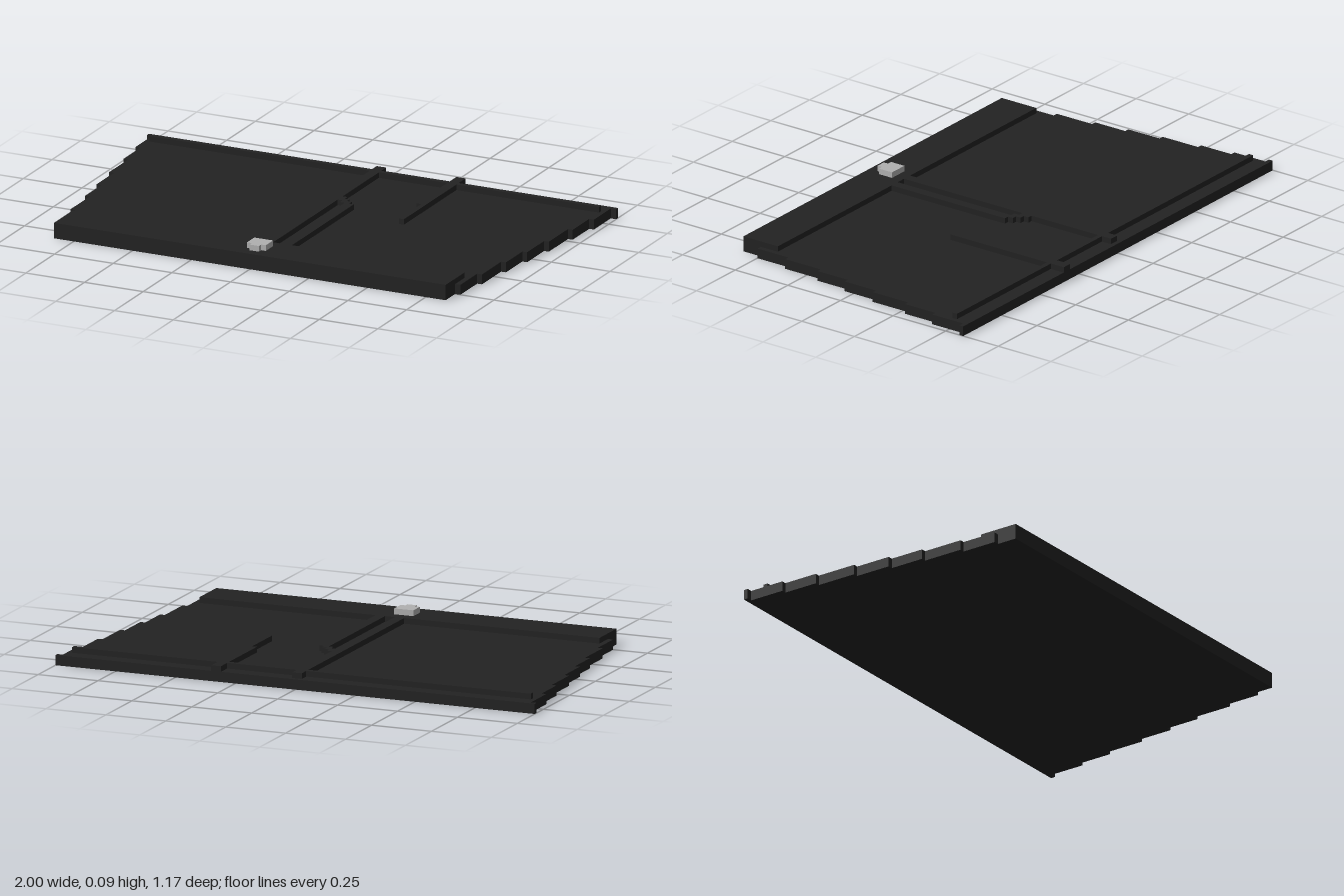
import * as THREE from 'three';

export function createModel() {
  const model = new THREE.Group();
  const charcoal = new THREE.MeshStandardMaterial({ color: 0x222222 });
  charcoal.name = 'charcoal';
  const lightGrey = new THREE.MeshStandardMaterial({ color: 0xb0b0b0 });
  lightGrey.name = 'light grey';

  const SLAB = 0.04, RIB = 0.062, TOP = 0.085;

  // Box given by its limits on each axis
  function block(name, x0, x1, y0, y1, z0, z1, material = charcoal) {
    const mesh = new THREE.Mesh(new THREE.BoxGeometry(x1 - x0, y1 - y0, z1 - z0), material);
    mesh.position.set((x0 + x1) / 2, (y0 + y1) / 2, (z0 + z1) / 2);
    mesh.name = name;
    model.add(mesh);
  }

  // Base slab: stepped outline narrowing toward the front, mirrored in x
  const stepZ = [-0.583, -0.565, -0.418, -0.274, -0.107, 0.042, 0.185, 0.353, 0.5, 0.583];
  const halfWidth = [1, 0.977, 0.957, 0.937, 0.917, 0.897, 0.877, 0.857, 0.835];
  const side = [];
  halfWidth.forEach((w, i) => side.push([w, stepZ[i]], [w, stepZ[i + 1]]));
  const outline = [...side, ...side.map(([x, z]) => [-x, z]).reverse()];
  const shape = new THREE.Shape(outline.map(([x, z]) => new THREE.Vector2(x, -z)));
  const slabGeometry = new THREE.ExtrudeGeometry(shape, { depth: SLAB, bevelEnabled: false });
  slabGeometry.rotateX(-Math.PI / 2);
  const slab = new THREE.Mesh(slabGeometry, charcoal);
  slab.name = 'baseSlab';
  model.add(slab);

  // Raised front deck and the long rib across the back
  block('frontDeck', -0.835, 0.835, SLAB, RIB, 0.419, 0.583);
  block('backRib', -0.957, 0.957, SLAB, RIB, -0.522, -0.502);

  // Lengthwise ribs
  block('centreRib', -0.02, 0.02, SLAB, RIB, -0.565, 0.419);
  block('sideRib', 0.06, 0.1, SLAB, RIB, -0.1, 0.419);
  block('rearRibWide', 0.31, 0.35, SLAB, RIB, -0.583, -0.235);
  block('rearRibNarrow', 0.33, 0.35, SLAB, RIB, -0.235, -0.045);

  // Stair-stepped link between the centre and side ribs
  [[0.02, 0.04, -0.187, -0.143], [0.04, 0.06, -0.165, -0.12], [0.06, 0.08, -0.143, -0.1], [0.08, 0.1, -0.12, -0.1]]
    .forEach(([x0, x1, z0, z1]) => block('linkStep', x0, x1, SLAB, RIB, z0, z1));

  // Small light stud on the front deck
  block('studBody', -0.04, 0.04, RIB, TOP, 0.461, 0.524, lightGrey);
  block('studNose', -0.02, 0.02, RIB, TOP, 0.524, 0.544, lightGrey);

  return model;
}
